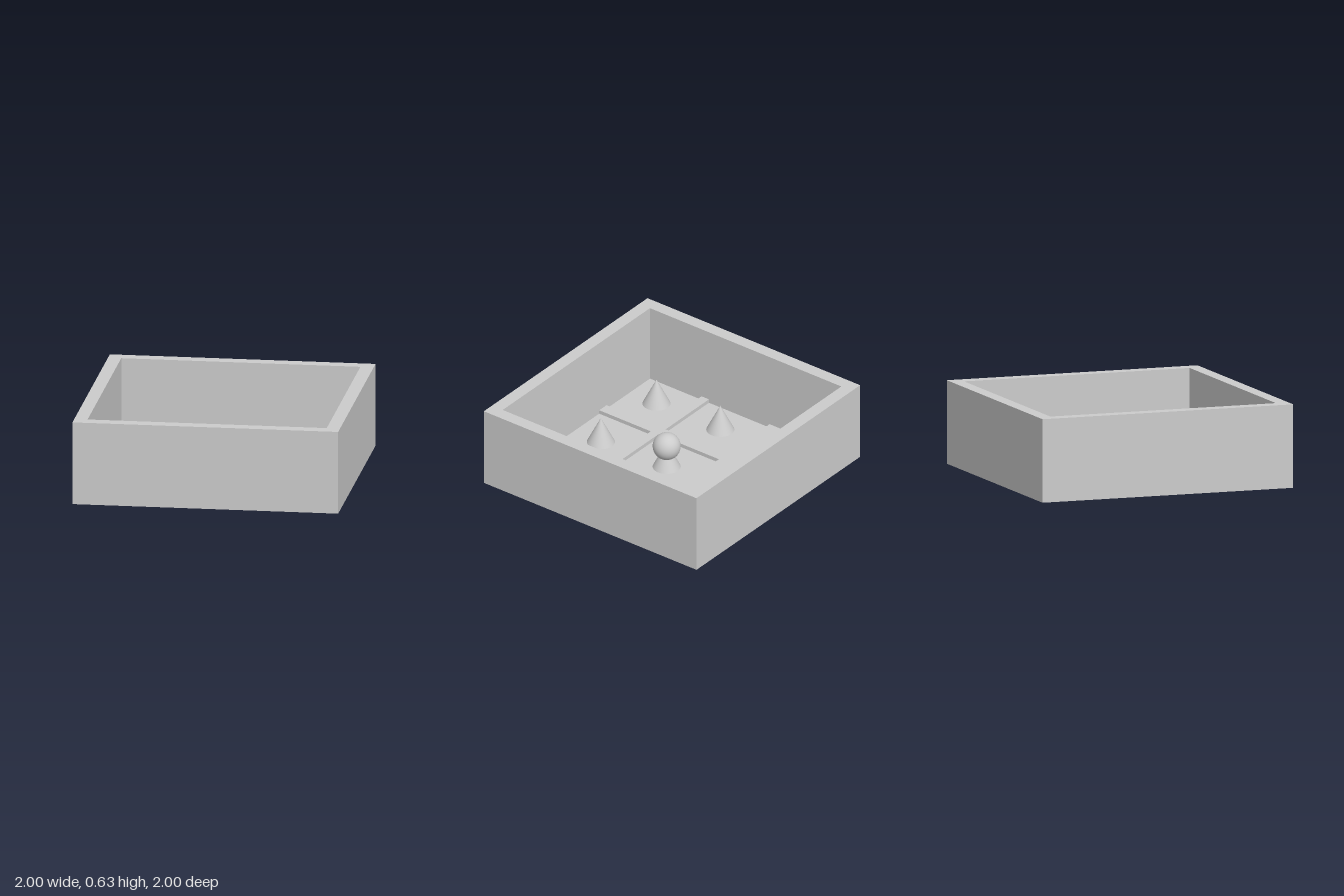
import * as THREE from 'three';

const WALL_HEIGHT = 0.63;
const INNER = 0.9; // half width of the opening
const FLOOR = 0.01;
const RIB_TOP = 0.04;
const PIECE_RADIUS = 0.105;

export function createModel() {
  const group = new THREE.Group();
  const material = new THREE.MeshStandardMaterial({ color: 0xcccccc });

  function add(name, geometry, x = 0, y = 0, z = 0) {
    const mesh = new THREE.Mesh(geometry, material);
    mesh.name = name;
    mesh.position.set(x, y, z);
    group.add(mesh);
    return mesh;
  }

  // Box spanning the given x and z ranges, from y0 to y1
  function slab(name, x0, x1, y0, y1, z0, z1) {
    add(name, new THREE.BoxGeometry(x1 - x0, y1 - y0, z1 - z0),
      (x0 + x1) / 2, (y0 + y1) / 2, (z0 + z1) / 2);
  }

  function square(Type, h) {
    return new Type([[-h, -h], [h, -h], [h, h], [-h, h]].map(([x, y]) => new THREE.Vector2(x, y)));
  }

  // Square tray: a frame of four walls around a thin floor
  const frame = square(THREE.Shape, 1);
  frame.holes.push(square(THREE.Path, INNER));
  const walls = new THREE.ExtrudeGeometry(frame, { depth: WALL_HEIGHT, bevelEnabled: false });
  walls.rotateX(-Math.PI / 2);
  add('trayWalls', walls);
  slab('trayFloor', -INNER, INNER, 0, FLOOR, -INNER, INNER);

  // Low ribs dividing the floor into nine cells
  const ribsX = [[-0.37, -0.28], [0.285, 0.39]];
  const ribsZ = [[-0.34, -0.225], [0.345, 0.415]];
  for (const [z0, z1] of ribsZ) slab('crossRib', -INNER, INNER, FLOOR, RIB_TOP, z0, z1);
  const gapsZ = [[-INNER, ribsZ[0][0]], [ribsZ[0][1], ribsZ[1][0]], [ribsZ[1][1], INNER]];
  for (const [x0, x1] of ribsX) {
    for (const [z0, z1] of gapsZ) slab('lengthRib', x0, x1, FLOOR, RIB_TOP, z0, z1);
  }

  // One cone in every cell
  const coneHeight = 0.21;
  const cone = new THREE.ConeGeometry(PIECE_RADIUS, coneHeight, 40);
  const cells = [
    [-0.655, -0.63], [0, -0.6], [0.655, -0.6],
    [-0.655, 0.05], [0, 0.05], [0.655, 0.05],
    [-0.655, 0.65], [0.025, 0.65], [0.655, 0.65],
  ];
  for (const [x, z] of cells) add('cone', cone, x, FLOOR + coneHeight / 2, z);

  // Ball resting on the middle cone
  add('ball', new THREE.SphereGeometry(PIECE_RADIUS, 40, 24), 0, 0.19, 0.05);

  return group;
}
